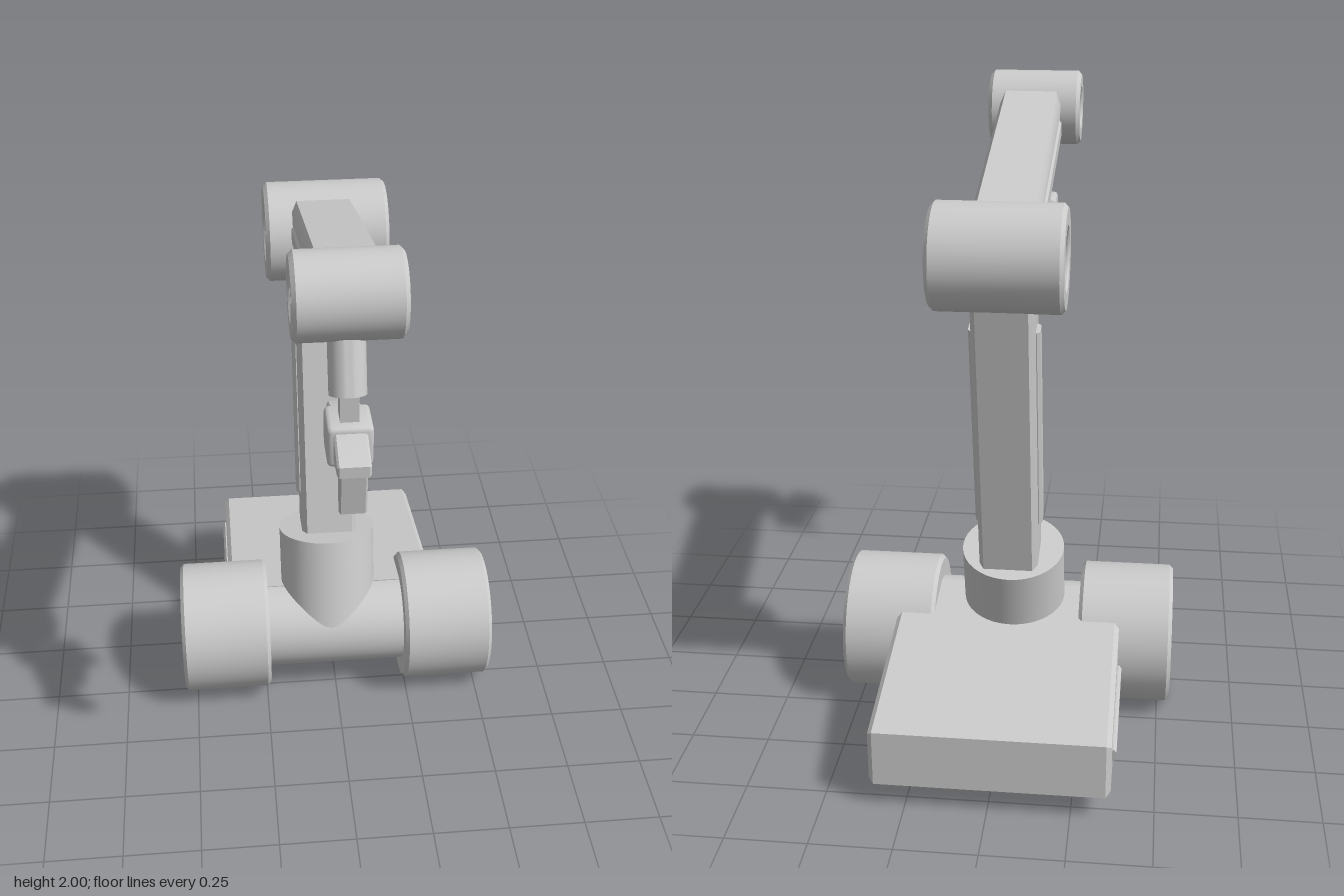
import * as THREE from 'three';
import { toCreasedNormals } from 'three/addons/utils/BufferGeometryUtils.js';
import { RoundedBoxGeometry } from 'three/addons/geometries/RoundedBoxGeometry.js';

const material = new THREE.MeshStandardMaterial({ color: 0xcccccc });

export function createModel() {
  const model = new THREE.Group();

  function add(name, geometry, x = 0, y = 0, z = 0) {
    const mesh = new THREE.Mesh(toCreasedNormals(geometry, 0.6), material);
    mesh.name = name;
    mesh.position.set(x, y, z);
    model.add(mesh);
    return mesh;
  }

  // Lathed drum lying along x, with a round recess in the +x end and optionally the other
  function drum(name, r, half, recessR, depth, x, y, z, bothEnds = true) {
    const c = 0.012;
    const end = [[r, half - c], [r - c, half], [recessR + 0.006, half],
      [recessR, half - 0.006], [recessR, half - depth], [0, half - depth]];
    const plain = [[r, half - c], [r - c, half], [0, half]];
    const low = (bothEnds ? end : plain).map(([a, b]) => [a, -b]).reverse();
    const points = [...low, ...end].map(([a, b]) => new THREE.Vector2(a, b));
    return add(name, new THREE.LatheGeometry(points, 40).rotateZ(-Math.PI / 2), x, y, z);
  }

  // Side outline in (z, y), extruded across x with bevelled edges
  function sidePlate(name, outline, width, bevel, x) {
    const shape = new THREE.Shape(outline.map(([a, b]) => new THREE.Vector2(a, b)));
    const depth = width - 2 * bevel;
    const geometry = new THREE.ExtrudeGeometry(shape, {
      depth, bevelThickness: bevel, bevelSize: bevel, bevelOffset: -bevel, bevelSegments: 1
    });
    geometry.translate(0, 0, -depth / 2).rotateY(-Math.PI / 2);
    return add(name, geometry, x);
  }

  // Straight bar between two (z, y) points with a cut-corner section; t0 and t1 are its half heights
  function beam(name, from, to, halfX, t0, t1, cutX, cutY, x) {
    const a = halfX - cutX, b = t0 - cutY;
    const section = new THREE.Shape([[halfX, -b], [halfX, b], [a, t0], [-a, t0],
      [-halfX, b], [-halfX, -b], [-a, -t0], [a, -t0]].map(([u, v]) => new THREE.Vector2(u, v)));
    const dz = to[0] - from[0], dy = to[1] - from[1], length = Math.hypot(dz, dy);
    const geometry = new THREE.ExtrudeGeometry(section, { depth: length, bevelEnabled: false });
    const p = geometry.attributes.position;
    for (let i = 0; i < p.count; i++) {
      p.setY(i, p.getY(i) * (1 + (t1 / t0 - 1) * p.getZ(i) / length));
    }
    const mesh = add(name, geometry, x, from[1], from[0]);
    mesh.rotation.x = -Math.atan2(dy, dz);
    return mesh;
  }

  // Round post between two (z, y) points
  function post(name, from, to, r, x) {
    const dz = to[0] - from[0], dy = to[1] - from[1];
    const geometry = new THREE.CylinderGeometry(r, r, Math.hypot(dz, dy), 40);
    const mesh = add(name, geometry, x, (from[1] + to[1]) / 2, (from[0] + to[0]) / 2);
    mesh.rotation.x = Math.atan2(dz, dy);
    return mesh;
  }

  // Wheels and axle
  for (const side of [-1, 1]) {
    const wheel = drum(side > 0 ? 'leftWheel' : 'rightWheel', 0.22, 0.152, 0.163, 0.035,
      side * 0.388, 0.23, -0.075, false);
    wheel.scale.y = 1.04;
    if (side < 0) wheel.rotation.y = Math.PI;
  }
  add('axle', new THREE.CylinderGeometry(0.155, 0.155, 0.56, 40).rotateZ(Math.PI / 2), 0, 0.232, -0.075);

  // Wedge-shaped base behind the axle, with a raised strip on each side
  sidePlate('baseBody', [[-0.805, 0.08], [-0.08, 0.08], [-0.08, 0.39], [-0.805, 0.259]], 0.727, 0.015, -0.006);
  beam('baseSideStrips', [-0.312, 0.215], [-0.726, 0.177], 0.376, 0.021, 0.021, 0.008, 0.01, -0.006);

  // Leaning turret
  post('turret', [-0.089, 0.229], [-0.175, 0.578], 0.165, -0.017);

  // Lower arm and its raised strips
  beam('lowerArm', [-0.173, 0.45], [-0.403, 1.61], 0.094, 0.096, 0.081, 0.016, 0.03, -0.01);
  beam('lowerArmStrips', [-0.222, 0.707], [-0.356, 1.385], 0.107, 0.033, 0.031, 0.01, 0.012, -0.01);

  // Elbow
  drum('elbow', 0.159, 0.196, 0.09, 0.025, 0.001, 1.61, -0.403);

  // Upper arm and its raised strips
  beam('upperArm', [-0.403, 1.634], [0.556, 1.872], 0.1, 0.092, 0.097, 0.016, 0.03, -0.01);
  beam('upperArmStrips', [-0.22, 1.68], [0.4, 1.833], 0.107, 0.033, 0.034, 0.01, 0.012, -0.01);

  // Wrist drum, wrist stem and gripper post
  drum('wrist', 0.122, 0.152, 0.066, 0.025, -0.021, 1.878, 0.556);
  post('wristStem', [0.558, 1.87], [0.638, 1.624], 0.052, -0.026);
  add('gripperPost', new THREE.BoxGeometry(0.052, 0.12, 0.058), -0.024, 1.59, 0.644);

  // Gripper block with two tapered jaws
  const gx = -0.024, gz = 0.641;
  add('gripperBlock', new RoundedBoxGeometry(0.126, 0.124, 0.128, 2, 0.014), gx, 1.494, gz);
  for (const side of [-1, 1]) {
    const label = side > 0 ? 'front' : 'back';
    const outline = (points) => {
      const placed = points.map(([d, y]) => [gz + side * d, y]);
      return side > 0 ? placed : placed.reverse();
    };
    sidePlate(label + 'JawArm', outline([[0.03, 1.447], [0.166, 1.468], [0.166, 1.502], [0.064, 1.54], [0.03, 1.54]]), 0.092, 0.006, gx);
    sidePlate(label + 'Finger', outline([[0.108, 1.327], [0.132, 1.327], [0.154, 1.485], [0.091, 1.485]]), 0.076, 0.005, gx);
  }
  return model;
}
